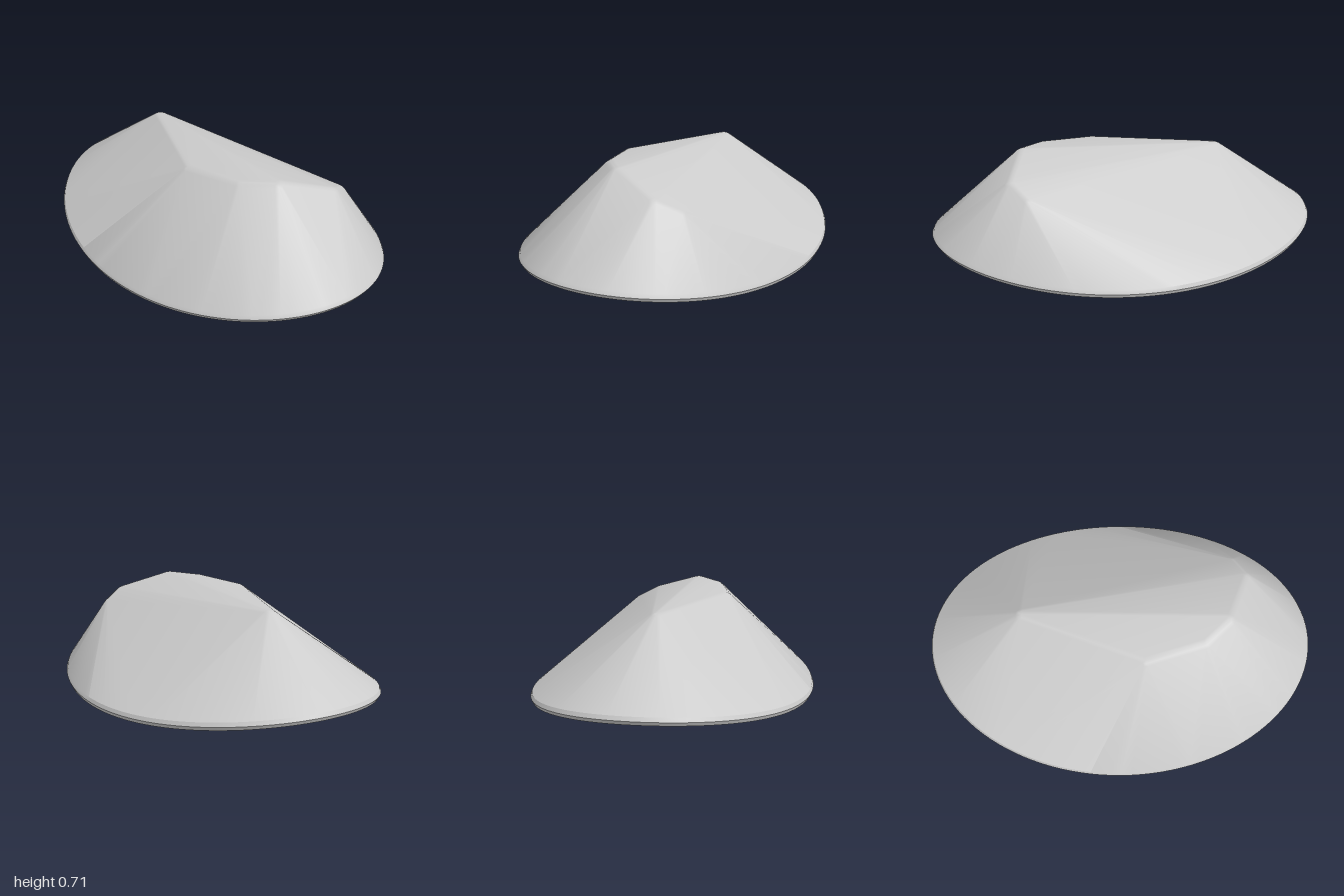
import * as THREE from 'three';
import { ConvexGeometry } from 'three/addons/geometries/ConvexGeometry.js';
import { toCreasedNormals } from 'three/addons/utils/BufferGeometryUtils.js';

// Points on a small ball, used to round a corner of the hull
function ball(x, y, z, r) {
  const points = [];
  const position = new THREE.IcosahedronGeometry(r, 3).getAttribute('position');
  const seen = new Set();
  for (let i = 0; i < position.count; i++) {
    const p = new THREE.Vector3().fromBufferAttribute(position, i);
    const key = p.toArray().map(v => v.toFixed(4)).join();
    if (seen.has(key)) continue;
    seen.add(key);
    points.push(p.add(new THREE.Vector3(x, y, z)));
  }
  return points;
}

// Elliptical rim that dips at the sides, with a thin blunt edge
function rim(segments) {
  const points = [];
  for (let i = 0; i < segments; i++) {
    const a = (i / segments) * Math.PI * 2;
    const x = Math.cos(a), z = Math.sin(a);
    const y = 0.222 + 0.092 * z * z - 0.007 * x;
    for (const [scale, dy] of [[0.99, -0.018], [1, 0], [0.99, 0.018]]) {
      points.push(new THREE.Vector3(0.717 * x * scale, y + dy, z * scale));
    }
  }
  return points;
}

export function createModel() {
  const group = new THREE.Group();
  group.name = 'facetedStone';

  // Crest corners: back end, left shoulder, summit, front right corner
  const crest = [
    [0.0, 0.605, -0.48],
    [-0.23, 0.62, 0.12],
    [-0.15, 0.64, 0.4],
    [-0.04, 0.65, 0.52],
    [0.2, 0.575, 0.62],
    [0.3, 0.525, 0.57],
  ];
  const points = rim(120);
  for (const [x, y, z] of crest) points.push(...ball(x, y, z, 0.06));

  // Underside tip
  points.push(...ball(0.23, 0.04, -0.09, 0.04));

  const geometry = toCreasedNormals(new ConvexGeometry(points), 0.45);
  const stone = new THREE.Mesh(geometry, new THREE.MeshStandardMaterial({ color: 0xcccccc }));
  stone.name = 'stoneBody';
  group.add(stone);
  return group;
}
